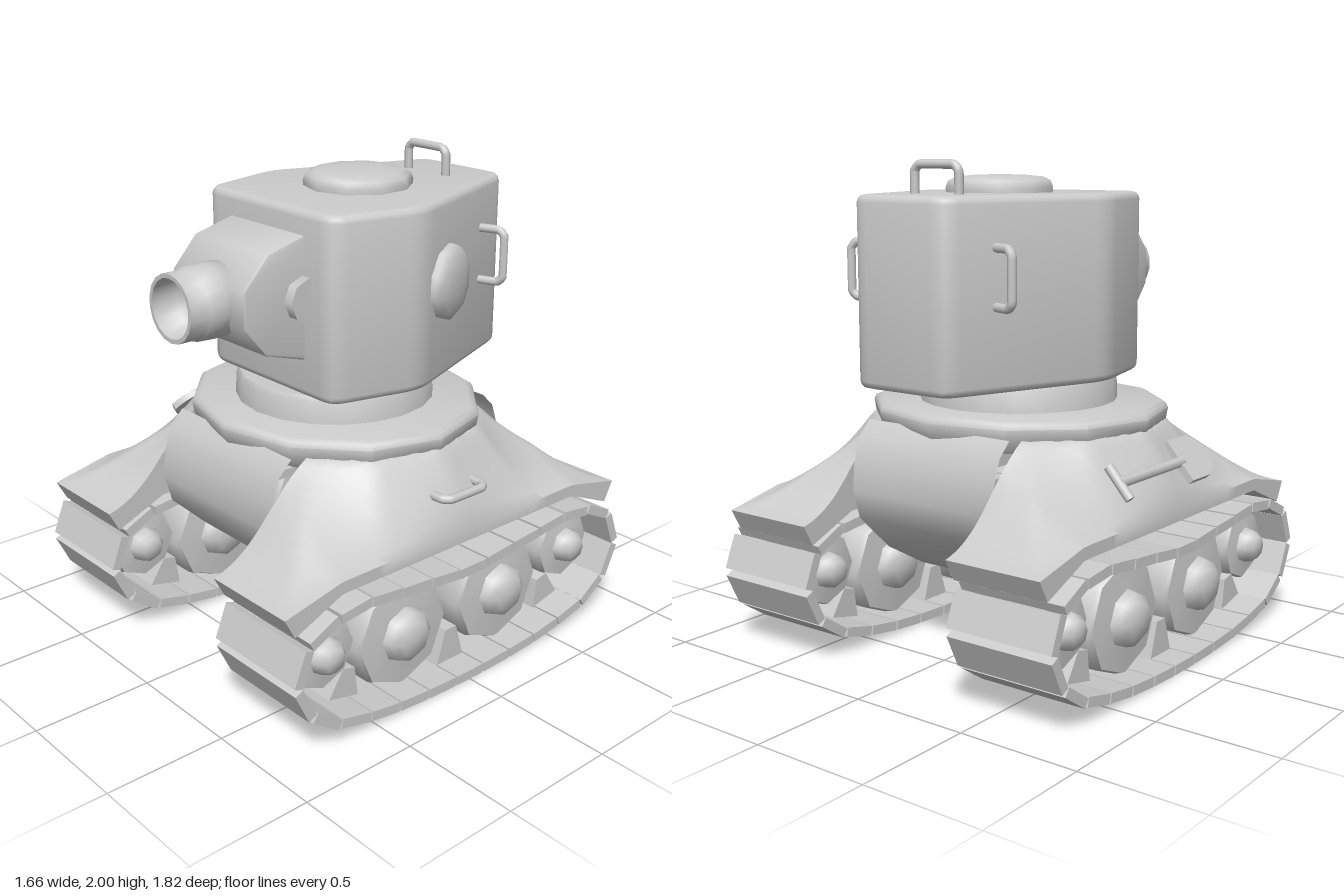
import * as THREE from 'three';
import { toCreasedNormals } from 'three/addons/utils/BufferGeometryUtils.js';

const mat = new THREE.MeshStandardMaterial({ color: 0xcccccc });
const sheetMat = new THREE.MeshStandardMaterial({ color: 0xcccccc, side: THREE.DoubleSide });
const V2 = (x, y) => new THREE.Vector2(x, y);
const V3 = (x, y, z) => new THREE.Vector3(x, y, z);
const crease = (g, a = 0.6) => toCreasedNormals(g, a);

function add(parent, name, geo, x = 0, y = 0, z = 0, material = mat) {
  const m = new THREE.Mesh(geo, material);
  m.name = name;
  m.position.set(x, y, z);
  parent.add(m);
  return m;
}

const lathe = (pts, seg, a) => crease(new THREE.LatheGeometry(pts.map(p => V2(p[0], p[1])), seg), a);

// Side profile given as (z, y), extruded along x and centred
function sideProfile(pts, width, bevel = 0) {
  const g = new THREE.ExtrudeGeometry(new THREE.Shape(pts.map(p => V2(p[0], p[1]))), {
    depth: width - 2 * bevel, bevelEnabled: bevel > 0, bevelSize: bevel,
    bevelThickness: bevel, bevelOffset: -bevel, bevelSegments: 2,
  });
  g.translate(0, 0, -width / 2 + bevel).rotateY(-Math.PI / 2);
  return crease(g, 0.85);
}

// Grab handle: runs along local x, stands out along local y
function handle(half, h, r = 0.018) {
  const c = 0.025;
  const pts = [[-half, 0], [-half, h - c], [-half + c, h], [half - c, h], [half, h - c], [half, 0]];
  const curve = new THREE.CatmullRomCurve3(pts.map(p => V3(p[0], p[1], 0)), false, 'catmullrom', 0.1);
  return new THREE.TubeGeometry(curve, 40, r, 8);
}

function orient(mesh, along, out) {
  const m = new THREE.Matrix4().makeBasis(along, out, along.clone().cross(out));
  mesh.quaternion.setFromRotationMatrix(m);
}

// Polygon with softened corners
function softPolygon(pts, r) {
  const s = new THREE.Shape();
  pts.forEach((p, i) => {
    const c = V2(...p);
    const toward = q => c.clone().add(V2(...q).sub(c).setLength(r));
    const a = toward(pts[(i + pts.length - 1) % pts.length]);
    const b = toward(pts[(i + 1) % pts.length]);
    if (i) s.lineTo(a.x, a.y); else s.moveTo(a.x, a.y);
    s.quadraticCurveTo(c.x, c.y, b.x, b.y);
  });
  return s;
}

function buildTurret() {
  const g = new THREE.Group();
  g.name = 'turret';
  const plan = [[-0.38, -0.35], [0.38, -0.35], [0.48, 0.04], [0.225, 0.745], [-0.225, 0.745], [-0.48, 0.04]];
  const shell = new THREE.ExtrudeGeometry(softPolygon(plan, 0.07), {
    depth: 0.68, bevelEnabled: true, bevelSize: 0.03, bevelThickness: 0.03,
    bevelOffset: -0.03, bevelSegments: 3, curveSegments: 4,
  });
  shell.translate(0, 0, 0.03).rotateX(-Math.PI / 2);
  add(g, 'turretShell', crease(shell), 0, 1.13, 0);

  // Roof hatch and handle
  add(g, 'roofHatch', lathe([[0.22, -0.02], [0.225, 0.02], [0.215, 0.045], [0.185, 0.06], [0.1, 0.068], [0, 0.07]], 10, 1.1), 0, 1.87, -0.125);
  add(g, 'roofHandle', handle(0.11, 0.125), 0, 1.857, -0.515);

  // Side handles and the single side hatch
  for (const s of [1, -1]) {
    const h = add(g, 'sideHandle', handle(0.11, 0.118), s * 0.29, 1.57, -0.53);
    orient(h, V3(0, 1, 0), V3(s * 0.942, 0, -0.336).normalize());
  }
  const disc = add(g, 'sideHatch', lathe([[0.155, -0.03], [0.155, 0.015], [0.125, 0.04], [0.06, 0.052], [0, 0.055]], 10, 1.1), 0.415, 1.53, -0.235);
  disc.quaternion.setFromUnitVectors(V3(0, 1, 0), V3(0.935, 0, -0.355).normalize());

  // Gun mount with side pivots and barrel
  add(g, 'gunMount', sideProfile([[0.3, 1.285], [0.355, 1.285], [0.535, 1.34], [0.635, 1.46],
    [0.635, 1.61], [0.525, 1.73], [0.355, 1.775], [0.3, 1.775]], 0.45, 0.008));
  add(g, 'mountPivot', crease(new THREE.CylinderGeometry(0.088, 0.088, 0.54, 8).rotateZ(Math.PI / 2), 0.9), 0, 1.535, 0.36);
  add(g, 'barrel', lathe([[0, 0.5], [0.1, 0.54], [0.146, 0.58], [0.147, 0.65], [0.143, 0.725], [0.135, 0.735],
    [0.135, 0.81], [0.118, 0.81], [0.11, 0.7], [0.07, 0.665], [0, 0.655]], 18, 0.9).rotateX(Math.PI / 2), 0, 1.53, 0);
  return g;
}

// Sloping mudguard: a box whose top falls from the twelve-sided deck outline to its outer edge
function fenderGeometry() {
  const g = new THREE.BoxGeometry(0.42, 1, 1.82, 16, 1, 48);
  const p = g.attributes.position;
  const wedge = Math.PI / 6;
  for (let i = 0; i < p.count; i++) {
    const x = p.getX(i) + 0.57, z = p.getZ(i), a = Math.abs(z);
    const end = Math.max(0, (a - 0.64) / 0.27);
    if (p.getY(i) > 0) {
      const angle = Math.atan2(x / 0.632, a / 0.575);
      const q = Math.hypot(x / 0.632, a / 0.575) * Math.cos(angle % wedge - wedge / 2) / Math.cos(wedge / 2);
      const reach = Math.min(0.78 / x, 0.91 / Math.max(a, 0.01));
      const t = THREE.MathUtils.clamp((q - 1) / (q * reach - 1), 0, 1);
      const power = 0.75 + 1.7 * a * a / (x * x + a * a);
      p.setY(i, 0.65 - 0.06 * end + 0.3 * (1 - t) ** power);
    } else {
      p.setY(i, 0.6 - 0.095 * end);
      p.setZ(i, z - Math.sign(z) * 0.045 * end);
    }
    p.setX(i, x);
  }
  return crease(g, 0.9);
}

function buildHull() {
  const g = new THREE.Group();
  g.name = 'hull';
  add(g, 'deckPlate', lathe([[0.59, 0.89], [0.632, 0.945], [0.64, 0.99], [0.63, 1.01], [0.605, 1.02], [0, 1.02]], 12, 0.8)).scale.z = 0.91;
  add(g, 'turretRing', lathe([[0.415, 1.0], [0.41, 1.11], [0.4, 1.13], [0, 1.13]], 20));

  // Rounded tub between the tracks
  const half = [[0.53, 0.96], [0.59, 0.9], [0.625, 0.8], [0.635, 0.68], [0.6, 0.56], [0.43, 0.4], [0.22, 0.28]];
  const path = [...half, ...half.map(([z, y]) => [-z, y]).reverse()];
  const tub = new THREE.PlaneGeometry(0.715, 1, 1, path.length - 1);
  const p = tub.attributes.position;
  for (let i = 0; i < p.count; i++) {
    const [z, y] = path[Math.floor(i / 2)];
    p.setY(i, y);
    p.setZ(i, z);
  }
  tub.computeVertexNormals();
  add(g, 'tub', tub, 0, 0, 0, sheetMat);

  // Mudguards: the rule is symmetric, so the other side is a half turn
  for (const s of [1, -1]) add(g, 'fender', fenderGeometry()).rotation.y = s > 0 ? 0 : Math.PI;

  const rail = add(g, 'fenderHandle', handle(0.11, 0.1), 0.675, 0.805, 0);
  orient(rail, V3(0, 0, 1), V3(1, 0, 0));
  return g;
}

function buildShovel() {
  const g = new THREE.Group();
  g.name = 'shovel';
  g.position.set(-0.71, 0.805, 0);
  g.rotation.z = 0.85;
  add(g, 'shovelShaft', new THREE.CylinderGeometry(0.022, 0.022, 0.46, 8).rotateX(Math.PI / 2), 0, 0.01, -0.1);
  add(g, 'shovelGrip', new THREE.CylinderGeometry(0.02, 0.02, 0.15, 8).rotateZ(Math.PI / 2), 0, 0.01, -0.325);
  const s = new THREE.Shape([V2(-0.095, -0.1), V2(0.095, -0.1), V2(0.095, -0.24)]);
  s.quadraticCurveTo(0.06, -0.31, 0, -0.33);
  s.quadraticCurveTo(-0.06, -0.31, -0.095, -0.24);
  const blade = new THREE.ExtrudeGeometry(s, { depth: 0.03, bevelEnabled: false, curveSegments: 4 });
  add(g, 'shovelBlade', crease(blade.rotateX(-Math.PI / 2)), 0, -0.005, 0);
  return g;
}

// Wheel with a raised hub on both faces, axle along x
function wheelGeometry(r) {
  const half = [[0, 0.2], [0.3, 0.195], [0.45, 0.165], [0.5, 0.13], [0.96, 0.12], [1, 0.1]];
  const pts = [...half.map(([a, b]) => [a * r, -b]), ...half.slice().reverse().map(([a, b]) => [a * r, b])];
  return lathe(pts, 8, 0.9).rotateZ(-Math.PI / 2);
}

function buildTrack(side) {
  const g = new THREE.Group();
  g.name = side > 0 ? 'leftTrack' : 'rightTrack';
  g.position.x = side * 0.595;

  // Shoes spaced evenly around the loop
  const half = [[0, 0.5], [0.3, 0.525], [0.6, 0.545], [0.79, 0.49], [0.87, 0.38], [0.86, 0.25], [0.74, 0.125], [0.5, 0.055], [0, 0.022]];
  const loop = [...half, ...half.slice(1, -1).reverse().map(([z, y]) => [-z, y])];
  const curve = new THREE.CatmullRomCurve3(loop.map(([z, y]) => V3(0, y, z)), true);
  const n = 26, shoe = new THREE.BoxGeometry(0.47, 0.04, curve.getLength() / n * 0.94);
  for (let i = 0; i < n; i++) {
    const at = curve.getPointAt(i / n), t = curve.getTangentAt(i / n);
    add(g, 'trackShoe', shoe, 0, at.y, at.z).rotation.x = Math.atan2(-t.y, t.z);
  }

  // Road wheels, end wheels and guide blocks
  for (const e of [1, -1]) {
    add(g, 'roadWheel', wheelGeometry(0.235), 0, 0.27, e * 0.27);
    add(g, 'endWheel', wheelGeometry(0.155), 0, 0.34, e * 0.68);
  }
  const block = h => sideProfile([[-0.075, -h], [0.075, -h], [0.03, h], [-0.03, h]], 0.24);
  add(g, 'guideBlock', block(0.075), 0, 0.11, 0);
  for (const e of [1, -1]) add(g, 'guideBlock', block(0.06), 0, 0.165, e * 0.565).rotation.x = -e * 0.22;
  return g;
}

export function createModel() {
  const model = new THREE.Group();
  model.name = 'tank';
  model.add(buildTurret(), buildHull(), buildShovel(), buildTrack(1), buildTrack(-1));
  return model;
}
